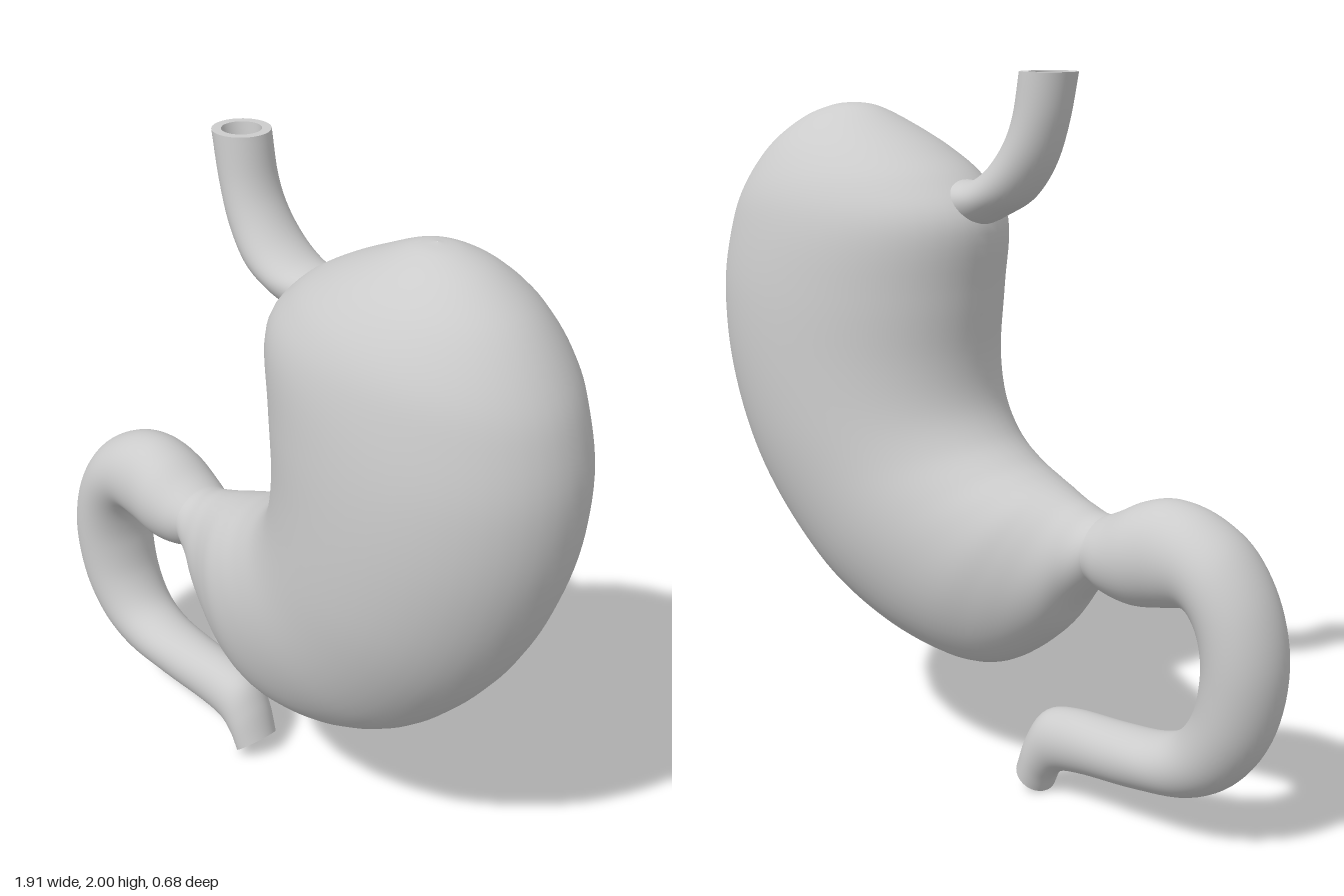
import * as THREE from 'three';

const material = new THREE.MeshStandardMaterial({ color: 0xcccccc });

// Skins elliptical sections [ax, ay, bx, by, depth]: a and b are opposite edge
// points in the xy plane, depth is the half-thickness along z.
function loft(name, sections, steps = 6, sides = 48) {
  const a = new THREE.CatmullRomCurve3(
    sections.map((s) => new THREE.Vector3(s[0], s[1], 0)), false, 'catmullrom', 0.5);
  const b = new THREE.CatmullRomCurve3(
    sections.map((s) => new THREE.Vector3(s[2], s[3], s[4])), false, 'catmullrom', 0.5);
  const rows = (sections.length - 1) * steps;
  const positions = [];
  const index = [];
  for (let i = 0; i <= rows; i++) {
    const p = a.getPoint(i / rows);
    const q = b.getPoint(i / rows);
    for (let j = 0; j < sides; j++) {
      const angle = (j / sides) * Math.PI * 2;
      const k = (1 + Math.cos(angle)) / 2;
      positions.push(p.x + (q.x - p.x) * k, p.y + (q.y - p.y) * k, q.z * Math.sin(angle));
      if (i === rows) continue;
      const v = i * sides + j;
      const w = i * sides + ((j + 1) % sides);
      index.push(v, w, v + sides, w, w + sides, v + sides);
    }
  }
  const geometry = new THREE.BufferGeometry();
  geometry.setAttribute('position', new THREE.Float32BufferAttribute(positions, 3));
  geometry.setIndex(index);
  geometry.computeVertexNormals();
  const mesh = new THREE.Mesh(geometry, material);
  mesh.name = name;
  return mesh;
}

// Scales a section about its middle and shifts it in the xy plane.
function inset([ax, ay, bx, by, d], scale, dx = 0, dy = 0) {
  const mx = (ax + bx) / 2;
  const my = (ay + by) / 2;
  return [mx + (ax - mx) * scale + dx, my + (ay - my) * scale + dy,
    mx + (bx - mx) * scale + dx, my + (by - my) * scale + dy, d * scale];
}

// Flat rim and hollow bore at the open end of a tube; (dx, dy) points inward.
function opening(name, end, dx, dy, atStart) {
  const rim = [end, inset(end, 0.68)];
  const bore = [inset(end, 0.68), inset(end, 0.62, dx, dy)];
  const floor = [inset(end, 0.62, dx, dy), inset(end, 0.001, dx, dy)];
  const group = new THREE.Group();
  group.name = name;
  [['rim', rim], ['bore', bore], ['boreFloor', floor]].forEach(([part, s]) =>
    group.add(loft(part, atStart ? s.reverse() : s, 1)));
  return group;
}

export function createModel() {
  const model = new THREE.Group();
  model.name = 'stomach';

  // Main sac, from the dome down to the narrow outlet
  const pylorus = [-0.4, 0.845, -0.4, 0.66, 0.105];
  model.add(loft('stomachBody', [
    [0.499, 1.897, 0.501, 1.897, 0.001],
    [0.43, 1.884, 0.58, 1.888, 0.06],
    [0.33, 1.84, 0.68, 1.85, 0.135],
    [0.2, 1.775, 0.79, 1.77, 0.215],
    [0.09, 1.7, 0.88, 1.65, 0.28],
    [0.01, 1.59, 0.93, 1.53, 0.315],
    [0.03, 1.4, 0.955, 1.36, 0.335],
    [0.05, 1.22, 0.93, 1.15, 0.34],
    [0.035, 1.09, 0.85, 0.92, 0.335],
    [-0.02, 1.0, 0.73, 0.72, 0.32],
    [-0.1, 0.945, 0.55, 0.53, 0.3],
    [-0.17, 0.917, 0.35, 0.41, 0.275],
    [-0.22, 0.9, 0.15, 0.35, 0.247],
    [-0.26, 0.887, 0, 0.34, 0.212],
    [-0.3, 0.873, -0.12, 0.38, 0.178],
    [-0.335, 0.862, -0.25, 0.48, 0.146],
    [-0.37, 0.85, -0.33, 0.585, 0.12],
    pylorus,
  ]));

  // Curved outlet tube
  const tail = [-0.215, 0.0, -0.125, 0.075, 0.07];
  model.add(loft('duodenum', [
    pylorus,
    [-0.45, 0.868, -0.45, 0.638, 0.12],
    [-0.53, 0.91, -0.53, 0.627, 0.132],
    [-0.62, 0.93, -0.62, 0.642, 0.13],
    [-0.73, 0.907, -0.69, 0.655, 0.13],
    [-0.84, 0.835, -0.725, 0.63, 0.132],
    [-0.925, 0.7, -0.743, 0.575, 0.13],
    [-0.96, 0.53, -0.745, 0.5, 0.127],
    [-0.93, 0.35, -0.722, 0.395, 0.12],
    [-0.845, 0.215, -0.665, 0.312, 0.11],
    [-0.72, 0.137, -0.58, 0.277, 0.1],
    [-0.55, 0.108, -0.45, 0.268, 0.09],
    [-0.37, 0.095, -0.3, 0.265, 0.083],
    [-0.28, 0.08, -0.21, 0.242, 0.08],
    [-0.237, 0.047, -0.16, 0.17, 0.076],
    tail,
  ]));
  model.add(opening('duodenumOpening', tail, -0.05, 0.06, false));

  // Inlet tube, running from its open top into the side of the sac
  const top = [-0.275, 2, -0.12, 2, 0.078];
  model.add(loft('oesophagus', [
    top,
    [-0.245, 1.87, -0.1, 1.885, 0.08],
    [-0.2, 1.755, -0.068, 1.81, 0.086],
    [-0.13, 1.665, -0.015, 1.745, 0.094],
    [-0.05, 1.617, 0.05, 1.706, 0.094],
    [0.03, 1.585, 0.11, 1.705, 0.085],
    [0.13, 1.59, 0.19, 1.71, 0.075],
  ]));
  model.add(opening('oesophagusOpening', top, 0.02, -0.1, true));

  return model;
}
